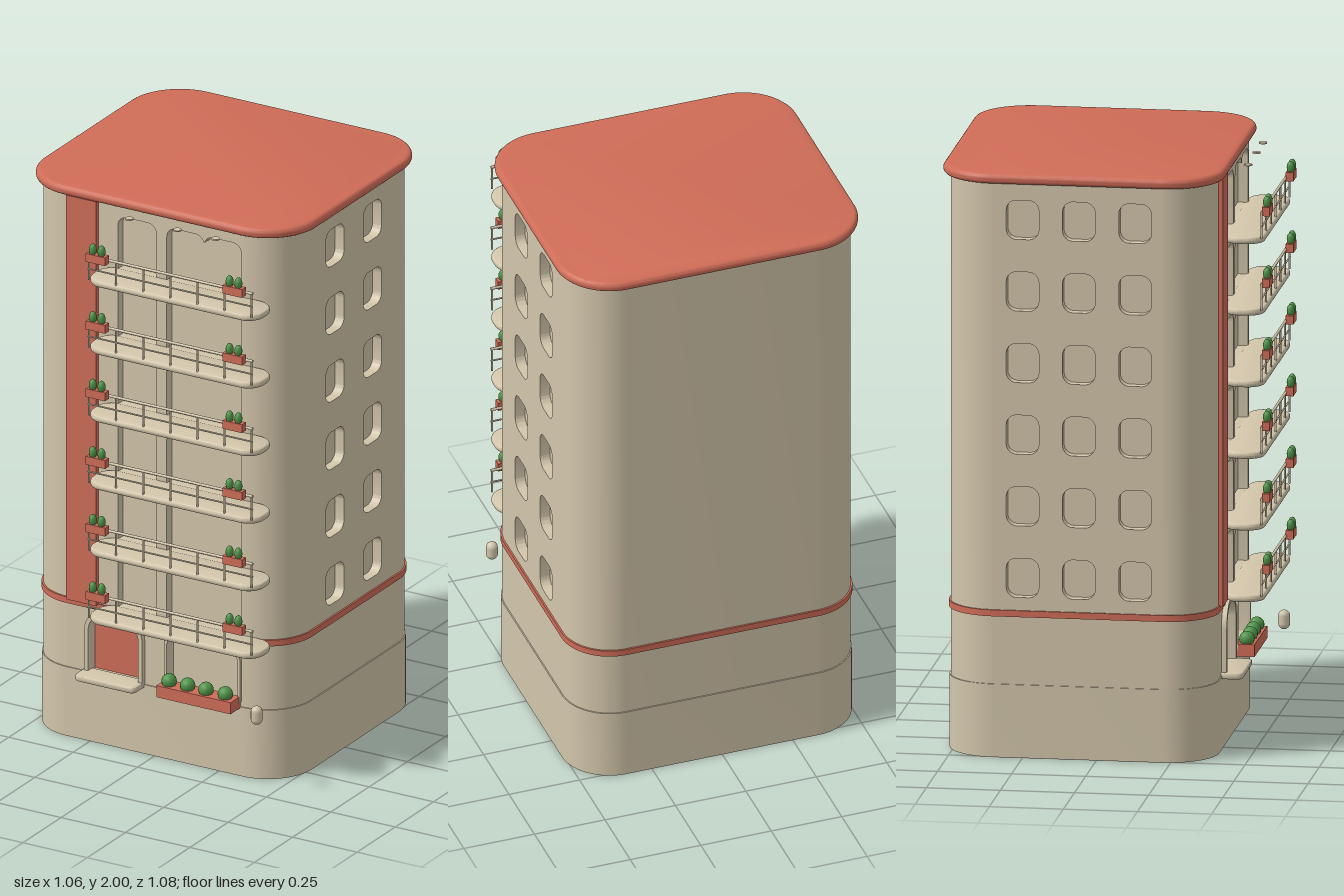
import * as THREE from 'three';
import { toCreasedNormals } from 'three/addons/utils/BufferGeometryUtils.js';

const wall = new THREE.MeshStandardMaterial({ color: 0xd2c5aa });
wall.name = 'warm beige plaster';
const red = new THREE.MeshStandardMaterial({ color: 0xcf6c57 });
red.name = 'terracotta red';
const green = new THREE.MeshStandardMaterial({ color: 0x4f9348 });
green.name = 'leaf green';

// Building footprint and window recess depth
const W = 0.505, FRONT = 0.385, BACK = -0.515, R = 0.165, D = 0.035;
const FLOOR = 0.245, FLOORS = 6, FIRST = 0.5;

function add(parent, name, geo, mat, x = 0, y = 0, z = 0) {
  const m = new THREE.Mesh(geo, mat);
  m.name = name;
  m.position.set(x, y, z);
  parent.add(m);
  return m;
}

// Rounded rectangle with separate bottom and top radii
function rounded(x0, x1, y0, y1, rb, rt = rb, Type = THREE.Shape) {
  const s = new Type();
  s.moveTo(x0 + rb, y0);
  s.lineTo(x1 - rb, y0);
  if (rb) s.absarc(x1 - rb, y0 + rb, rb, -Math.PI / 2, 0);
  s.lineTo(x1, y1 - rt);
  s.absarc(x1 - rt, y1 - rt, rt, 0, Math.PI / 2);
  s.lineTo(x0 + rt, y1);
  s.absarc(x0 + rt, y1 - rt, rt, Math.PI / 2, Math.PI);
  s.lineTo(x0, y0 + rb);
  if (rb) s.absarc(x0 + rb, y0 + rb, rb, Math.PI, Math.PI * 1.5);
  return s;
}

// Balcony door pair: two rounded heads meeting in a cusp
function doublePath(x0, x1, y0, y1, r) {
  const p = new THREE.Path(), m = (x0 + x1) / 2;
  p.moveTo(x0, y0);
  p.lineTo(x1, y0);
  p.lineTo(x1, y1 - r);
  p.absarc(x1 - r, y1 - r, r, 0, Math.PI / 2);
  p.lineTo(m + r, y1);
  p.absarc(m + r, y1 - r, r, Math.PI / 2, Math.PI * 0.9);
  p.absarc(m - r, y1 - r, r, Math.PI * 0.1, Math.PI / 2);
  p.lineTo(x0 + r, y1);
  p.absarc(x0 + r, y1 - r, r, Math.PI / 2, Math.PI);
  p.lineTo(x0, y0);
  return p;
}

function extrude(shape, depth, bevel = 0) {
  const g = new THREE.ExtrudeGeometry(shape, {
    depth: depth - 2 * bevel, curveSegments: 12, bevelEnabled: bevel > 0,
    bevelSize: bevel, bevelThickness: bevel, bevelOffset: -bevel, bevelSegments: 5,
  });
  g.translate(0, 0, bevel);
  return toCreasedNormals(g, 0.6);
}

// Extrude a plan (x, -z) upwards
const slab = (shape, height, bevel) => extrude(shape, height, bevel).rotateX(-Math.PI / 2);
const plan = (o) => rounded(-W - o, W + o, -FRONT - o, -BACK + o, R + o);

// Upper core, with its front and side faces set back behind the wall panels
function corePlan() {
  const s = new THREE.Shape(), a = W - R, f = -FRONT, b = -BACK;
  s.moveTo(-a, f + D);
  s.lineTo(a, f + D);
  s.lineTo(a, f);
  s.absarc(a, f + R, R, -Math.PI / 2, 0);
  s.lineTo(W - D, f + R);
  s.lineTo(W - D, b - R);
  s.lineTo(W, b - R);
  s.absarc(a, b - R, R, 0, Math.PI / 2);
  s.absarc(-a, b - R, R, Math.PI / 2, Math.PI);
  s.lineTo(D - W, b - R);
  s.lineTo(D - W, f + R);
  s.lineTo(-W, f + R);
  s.absarc(-a, f + R, R, Math.PI, Math.PI * 1.5);
  return s;
}

function rectShape(x0, x1, y0, y1) {
  return new THREE.Shape([[x0, y0], [x1, y0], [x1, y1], [x0, y1]].map((p) => new THREE.Vector2(...p)));
}

function buildWalls(root) {
  const y0 = 0.25, y1 = 1.97;
  add(root, 'plinth', slab(plan(0.004), y0), wall);
  add(root, 'core', slab(corePlan(), y1 - y0), wall, 0, y0);

  // Front wall with entrance, shop window and balcony doors
  const front = rectShape(R - W, W - R, y0, y1);
  front.holes.push(rounded(-0.25, -0.055, 0.255, 0.478, 0, 0.075, THREE.Path));
  front.holes.push(rounded(0.05, 0.325, 0.255, 0.455, 0.02, 0.045, THREE.Path));
  for (let i = 0; i < FLOORS; i++) {
    const y = FIRST + i * FLOOR;
    front.holes.push(rounded(-0.145, 0.005, y + 0.008, y + 0.2, 0, 0.035, THREE.Path));
    front.holes.push(doublePath(0.045, 0.335, y + 0.008, y + 0.2, 0.035));
  }
  add(root, 'frontWall', extrude(front, D), wall, 0, 0, FRONT - D);

  // Side walls: two window columns on the left, three on the right
  for (const [side, columns, w] of [[1, [0.06, -0.185], 0.12], [-1, [-0.25, -0.06, 0.13], 0.11]]) {
    const za = -side * (FRONT - R), zb = -side * (BACK + R);
    const s = rectShape(Math.min(za, zb), Math.max(za, zb), y0, y1);
    for (const z of columns) for (let i = 0; i < FLOORS; i++) {
      const c = -side * z, y = 0.615 + i * FLOOR;
      s.holes.push(rounded(c - w / 2, c + w / 2, y - 0.067, y + 0.067, 0.035, 0.035, THREE.Path));
    }
    const m = add(root, side > 0 ? 'leftWall' : 'rightWall', extrude(s, D), wall, side * (W - D));
    m.rotation.y = side * Math.PI / 2;
  }

  // Red trim and roof
  const ring = plan(0.006);
  ring.holes.push(plan(-0.002));
  add(root, 'bandCourse', slab(ring, 0.022), red, 0, 0.482);
  add(root, 'roof', slab(plan(0.025), 0.036, 0.017), red, 0, 1.964);
  add(root, 'verticalStripe', new THREE.BoxGeometry(0.115, 1.465, 0.02), red, -0.278, 1.2325, FRONT + 0.006);
}

function buildGroundFloor(root) {
  // Entrance
  add(root, 'entranceDoor', extrude(rounded(-0.25, -0.055, 0.255, 0.478, 0, 0.075), 0.006), red, 0, 0, FRONT - D);
  const frame = rounded(-0.265, -0.04, 0.25, 0.492, 0, 0.088);
  frame.holes.push(rounded(-0.25, -0.055, 0.255, 0.478, 0, 0.075, THREE.Path));
  add(root, 'entranceFrame', extrude(frame, 0.02), wall, 0, 0, FRONT - 0.002);
  add(root, 'entranceStep', slab(rounded(-0.275, -0.04, -0.457, -0.37, 0.02), 0.022, 0.006), wall, 0, 0.238);

  // Ground floor window with its flower box
  const trim = rounded(0.04, 0.335, 0.25, 0.466, 0.025, 0.053);
  trim.holes.push(rounded(0.05, 0.325, 0.26, 0.455, 0.02, 0.045, THREE.Path));
  add(root, 'windowFrame', extrude(trim, 0.012), wall, 0, 0, FRONT - 0.002);
  add(root, 'flowerBox', new THREE.BoxGeometry(0.288, 0.042, 0.064), red, 0.187, 0.266, 0.418);
  for (const x of [0.075, 0.147, 0.218, 0.293])
    add(root, 'bush', new THREE.SphereGeometry(0.026, 14, 10), green, x, 0.3, 0.42);

  // Wall lamp
  add(root, 'lamp', new THREE.CapsuleGeometry(0.02, 0.026, 5, 14), wall, 0.455, 0.283, 0.488);
}

function buildBalcony(index) {
  const g = new THREE.Group();
  g.name = 'balcony' + (index + 1);
  g.position.y = FIRST + index * FLOOR;
  add(g, 'balconyFloor', slab(rounded(-0.2, 0.465, -0.515, -0.375, 0.06), 0.024, 0.01), wall, 0, -0.014);

  // Railing along the front edge
  for (const [y, r] of [[0.092, 0.005], [0.045, 0.003]])
    add(g, 'rail', new THREE.CylinderGeometry(r, r, 0.64, 8).rotateZ(Math.PI / 2), wall, 0.132, y, 0.508);
  for (let i = 0; i < 7; i++)
    add(g, 'railPost', new THREE.CylinderGeometry(0.0035, 0.0035, 0.09, 8), wall, -0.183 + i * 0.105, 0.05, 0.508);

  // Hanging planters
  for (const x of [-0.143, 0.388]) {
    add(g, 'planter', new THREE.BoxGeometry(0.075, 0.03, 0.026), red, x, 0.096, 0.522);
    for (const s of [-1, 1])
      add(g, 'plant', new THREE.SphereGeometry(0.0135, 12, 8).scale(1, 1.6, 1), green, x + s * 0.017, 0.125, 0.523);
  }

  // Ceiling spots above the balcony
  for (const x of [-0.065, 0.122, 0.27])
    add(g, 'ceilingSpot', new THREE.CylinderGeometry(0.014, 0.014, 0.005, 14), wall, x, FLOOR - 0.016, 0.445);
  return g;
}

export function createModel() {
  const root = new THREE.Group();
  root.name = 'apartmentTower';
  buildWalls(root);
  buildGroundFloor(root);
  for (let i = 0; i < FLOORS; i++) root.add(buildBalcony(i));
  return root;
}
